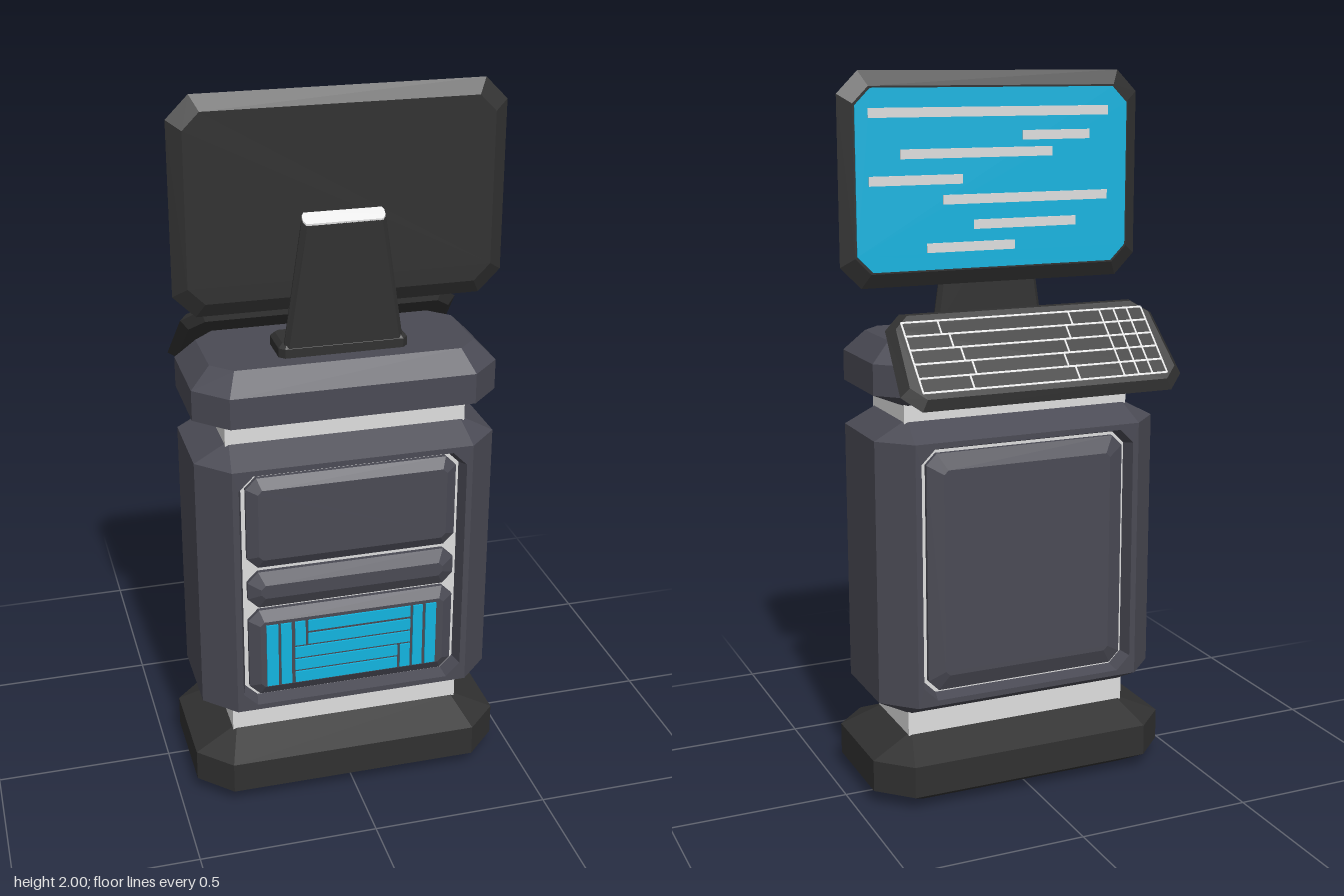
import * as THREE from 'three';

const flat = (color, name) => {
  const m = new THREE.MeshStandardMaterial({ color, flatShading: true });
  m.name = name;
  return m;
};

// chamfered rectangle outline, counter-clockwise from the right edge
const ring = ([t, hx, hy, c]) => [
  [hx, -hy + c, t], [hx, hy - c, t], [hx - c, hy, t], [-hx + c, hy, t],
  [-hx, hy - c, t], [-hx, -hy + c, t], [-hx + c, -hy, t], [hx - c, -hy, t],
];

// skin over layers [height, halfWidth, halfDepth, corner], stacked along z
function loft(layers, { start = true, end = true, skip = () => false } = {}) {
  const rings = layers.map(ring);
  const pos = [];
  const tri = (a, b, c) => pos.push(...a, ...b, ...c);
  for (let i = 0; i < rings.length - 1; i++) {
    for (let j = 0; j < 8; j++) {
      if (skip(i, j)) continue;
      const k = (j + 1) % 8, lo = rings[i], hi = rings[i + 1];
      tri(lo[j], lo[k], hi[k]);
      tri(lo[j], hi[k], hi[j]);
    }
  }
  const first = rings[0], last = rings[rings.length - 1];
  for (let j = 1; j < 7; j++) {
    if (start) tri(first[0], first[j + 1], first[j]);
    if (end) tri(last[0], last[j], last[j + 1]);
  }
  const g = new THREE.BufferGeometry();
  g.setAttribute('position', new THREE.Float32BufferAttribute(pos, 3));
  g.computeVertexNormals();
  return g;
}
const loftY = (layers, opts) => loft(layers, opts).rotateX(-Math.PI / 2);

// move each vertex by a rule
function bend(g, rule) {
  const p = g.attributes.position, v = new THREE.Vector3();
  for (let i = 0; i < p.count; i++) {
    rule(v.fromBufferAttribute(p, i));
    p.setXYZ(i, v.x, v.y, v.z);
  }
  g.computeVertexNormals();
  return g;
}

export function createModel() {
  const body = flat(0x4a4a54, 'slate grey');
  const black = flat(0x303030, 'charcoal');
  const light = flat(0xdedede, 'light grey');
  const cyan = flat(0x12b4e0, 'cyan');

  const model = new THREE.Group();
  model.name = 'computerTerminal';
  const add = (name, geo, mat, x = 0, y = 0, z = 0, parent = model) => {
    const m = new THREE.Mesh(geo, mat);
    m.name = name;
    m.position.set(x, y, z);
    parent.add(m);
    return m;
  };
  const box = (w, h, d) => new THREE.BoxGeometry(w, h, d);
  const ZC = 0.0525;

  // base with a hollow underside
  add('base', loftY([
    [0.05, 0.32, 0.1, 0.03], [0, 0.33, 0.11, 0.03], [0, 0.38, 0.165, 0.07],
    [0.04, 0.447, 0.2325, 0.09], [0.13, 0.447, 0.2325, 0.09], [0.18, 0.335, 0.125, 0.01],
  ]), black, 0, 0, ZC);
  add('undersideSlit', box(0.58, 0.006, 0.03), light, 0, 0.047, ZC - 0.03);

  // light core showing at both necks
  add('lowerNeck', box(0.67, 0.075, 0.25), light, 0, 0.2125, ZC);
  add('upperNeck', box(0.67, 0.06, 0.25), light, 0, 1.1025, ZC);

  // body shell, left open at front and back for the recessed frames
  add('body', loftY([
    [0.245, 0.335, 0.125, 0.01], [0.29, 0.42, 0.2075, 0.085],
    [1.035, 0.42, 0.2075, 0.085], [1.08, 0.335, 0.125, 0.01],
  ], { skip: (i, j) => i === 1 && (j === 2 || j === 6) }), body, 0, 0, ZC);

  // top cap
  add('topCap', loftY([
    [1.125, 0.335, 0.125, 0.01], [1.16, 0.42, 0.2075, 0.085],
    [1.245, 0.42, 0.2075, 0.085], [1.3, 0.365, 0.15, 0.055],
  ]), body, 0, 0, ZC);

  // recessed frame and its floor, same on both faces
  const panel = (name, y0, y1, bevel, parent) => {
    const h = (y1 - y0) / 2;
    add(name, loft([
      [0, 0.295, h, 0.03], [0.012, 0.295, h, 0.03], [0.03, 0.295 - bevel, h - bevel, 0.012],
    ], { start: false }), body, 0, (y0 + y1) / 2, 0.17, parent);
  };
  const sides = ['front', 'back'].map((side, i) => {
    const g = new THREE.Group();
    g.name = side + 'Face';
    g.position.z = ZC;
    g.rotation.y = i * Math.PI;
    model.add(g);
    add(side + 'Frame', loft([
      [0.2075, 0.335, 0.3725, 0.0005], [0.2075, 0.318, 0.357, 0.04], [0.17, 0.306, 0.346, 0.035],
    ], { start: false, end: false }), body, 0, 0.6625, 0, g);
    add(side + 'Recess', loft([[0.165, 0.312, 0.352, 0.03], [0.17, 0.312, 0.352, 0.03]]),
      light, 0, 0.6625, 0, g);
    return g;
  });
  panel('upperPanel', 0.73, 1.0, 0.03, sides[0]);
  panel('drawerPanel', 0.605, 0.715, 0.035, sides[0]);
  panel('displayPanel', 0.325, 0.595, 0.03, sides[0]);
  panel('backPanel', 0.325, 1.0, 0.045, sides[1]);

  // glowing grille: [x0, x1, y0, y1]
  const rows = [0.36, 0.4, 0.44, 0.48, 0.522];
  const cells = [
    [-0.249, -0.216, 0.36, 0.555], [-0.208, -0.178, 0.36, 0.555],
    [0.175, 0.203, 0.36, 0.555], [0.212, 0.243, 0.36, 0.555],
    [-0.168, -0.138, 0.48, 0.555], [0.138, 0.167, 0.36, 0.433],
    ...rows.map((y, i) => [i < 3 ? -0.168 : -0.13, i < 2 ? 0.13 : 0.167, y, y + 0.033]),
  ];
  for (const [x0, x1, y0, y1] of cells) {
    add('grilleBar', box(x1 - x0, y1 - y0, 0.006), cyan,
      (x0 + x1) / 2, (y0 + y1) / 2, 0.202, sides[0]);
  }

  // monitor stand: foot, tapered arm and slanted light tip
  add('standFoot', loftY([
    [1.295, 0.177, 0.065, 0.015], [1.325, 0.177, 0.065, 0.015], [1.337, 0.165, 0.053, 0.01],
  ]), black, 0, 0, 0.09);
  const slant = (v) => { if (v.y > 1.6) v.y -= (v.z + 0.014) * 0.9; };
  add('standArm', bend(loftY([
    [1.3, 0.167, 0.014, 0.012], [1.683, 0.112, 0.014, 0.012],
  ]), slant), black, 0, 0, 0.14);
  add('standTip', bend(loftY([
    [1.682, 0.11, 0.014, 0.008], [1.687, 0.11, 0.014, 0.008],
  ]), slant), light, 0, 0, 0.14);

  // monitor, with its screen on the keyboard side
  add('monitor', loft([
    [0.083, 0.41, 0.25, 0.045], [0.105, 0.447, 0.29, 0.06], [0.128, 0.41, 0.25, 0.045],
  ]), black, 0, 1.71, 0);
  add('screen', loft([[0.08, 0.405, 0.245, 0.045], [0.084, 0.405, 0.245, 0.045]]),
    cyan, 0, 1.71, 0);
  // screen lines: [start, end, drop] as fractions
  const lines = [
    [0.05, 0.92, 0.14], [0.6, 0.85, 0.27], [0.16, 0.71, 0.36], [0.05, 0.38, 0.5],
    [0.31, 0.92, 0.61], [0.42, 0.8, 0.75], [0.25, 0.57, 0.87],
  ];
  for (const [a, b, v] of lines) {
    add('screenLine', box((b - a) * 0.82, 0.026, 0.004), light,
      0.41 - (a + b) * 0.41, 1.96 - v * 0.5, 0.079);
  }

  // tilted keyboard, slightly narrower toward the monitor
  const keyboard = new THREE.Group();
  keyboard.name = 'keyboard';
  keyboard.position.set(0, 1.262, -0.175);
  keyboard.rotation.x = -Math.PI / 4;
  model.add(keyboard);
  add('keyboardSlab', bend(loftY([
    [-0.023, 0.38, 0.133, 0.04], [0, 0.4025, 0.155, 0.05], [0.023, 0.38, 0.133, 0.04],
  ]), (v) => { v.x *= 1 - 0.175 * v.z; }), black, 0, 0, 0, keyboard);

  // gaps between keys
  const pitch = 0.0446, top = -0.113;
  for (let r = 0; r <= 5; r++) {
    add('keyRowGap', box(0.712, 0.003, 0.006), light, 0, 0.0235, top + r * pitch, keyboard);
  }
  for (const x of [-0.355, -0.31, -0.269, -0.225, 0.355]) {
    add('keyColumnGap', box(0.005, 0.003, 5 * pitch), light, x, 0.0235, top + 2.5 * pitch, keyboard);
  }
  const splits = [[-0.092, 0.213], [-0.073, 0.194], [-0.09, 0.213], [-0.109, 0.232], [-0.13, 0.253]];
  splits.forEach((pair, r) => pair.forEach((x) => {
    add('keySplit', box(0.005, 0.003, pitch), light, x, 0.0235, top + (r + 0.5) * pitch, keyboard);
  }));

  return model;
}
